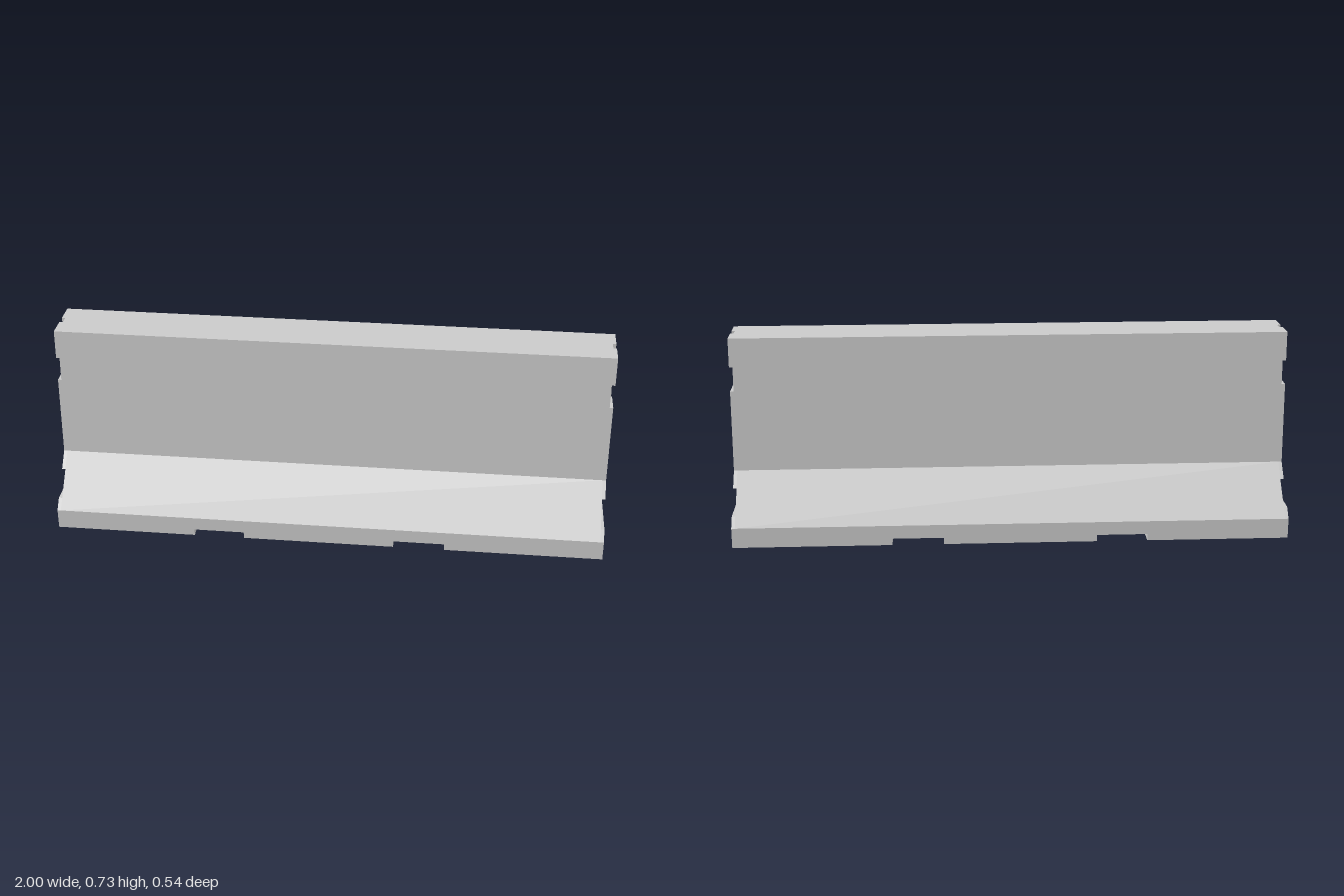
import * as THREE from 'three';

// Half profile of the barrier: [half width, height]
const PROFILE = [[0.268, 0], [0.268, 0.073], [0.115, 0.24], [0.095, 0.725]];
const END = 1, GROOVE = 0.0125, SLOT = 0.0175, NOTCH = 0.024;

function halfWidth(y) {
  for (let i = 1; i < PROFILE.length; i++) {
    const [w0, y0] = PROFILE[i - 1], [w1, y1] = PROFILE[i];
    if (y <= y1) return w0 + (w1 - w0) * (y - y0) / (y1 - y0);
  }
  return PROFILE[PROFILE.length - 1][0];
}

// Outer edge of the profile between two heights, from bottom to top
function edge(y0, y1) {
  const inside = PROFILE.filter(([, y]) => y > y0 && y < y1);
  return [[halfWidth(y0), y0], ...inside, [halfWidth(y1), y1]];
}

export function createModel() {
  const group = new THREE.Group();
  const material = new THREE.MeshStandardMaterial({ color: 0xcccccc, flatShading: true });

  // Extrude a cross-section along x from x0 to x1
  function addSection(name, points, x0, x1) {
    const shape = new THREE.Shape(points.map(([z, y]) => new THREE.Vector2(-z, y)));
    const geometry = new THREE.ExtrudeGeometry(shape, { depth: x1 - x0, bevelEnabled: false });
    geometry.rotateY(Math.PI / 2).translate(x0, 0, 0);
    const mesh = new THREE.Mesh(geometry, material);
    mesh.name = name;
    group.add(mesh);
  }
  const fullSection = (y0, y1) => {
    const side = edge(y0, y1);
    return [...side, ...side.map(([z, y]) => [-z, y]).reverse()];
  };

  // Main wall, stopping short of the raised end panels
  const inner = END - GROOVE;
  addSection('wall', fullSection(NOTCH, 0.725), -inner, inner);

  // Base pads, leaving two lifting notches under the wall
  for (const [x0, x1] of [[-inner, -0.488], [-0.305, 0.245], [0.43, inner]]) {
    addSection('basePad', fullSection(0, NOTCH), x0, x1);
  }

  // Raised end panels, separated by a vertical and two horizontal grooves
  for (const [y0, y1] of [[0, 0.108], [0.188, 0.533], [0.62, 0.725]]) {
    for (const s of [-1, 1]) {
      const panel = [[SLOT, y0], ...edge(y0, y1), [SLOT, y1]].map(([z, y]) => [s * z, y]);
      addSection('leftEndPanel', panel, inner, END);
      addSection('rightEndPanel', panel, -END, -inner);
    }
  }
  return group;
}
